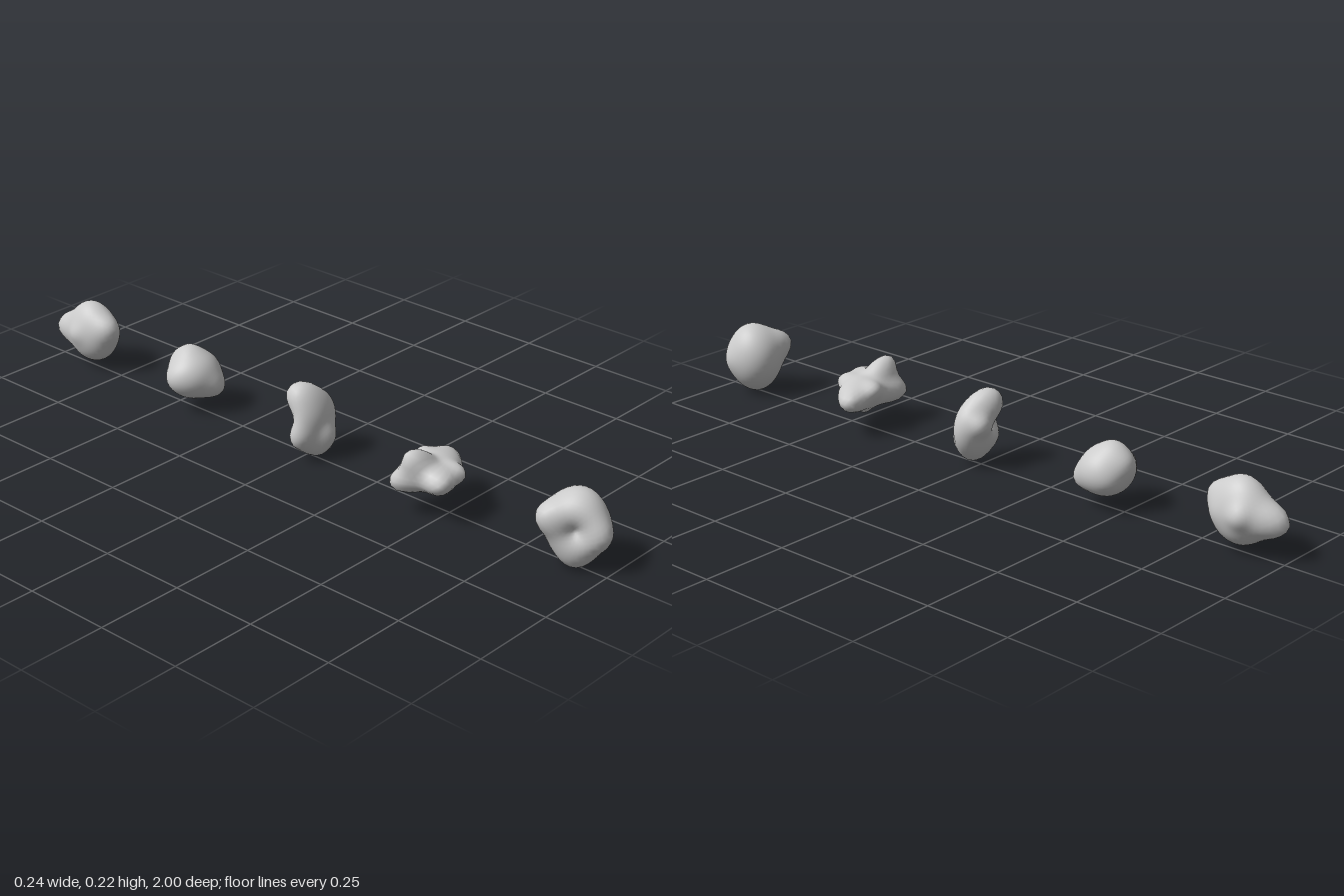
import * as THREE from 'three';
import { mergeVertices } from 'three/addons/utils/BufferGeometryUtils.js';

const stone = new THREE.MeshStandardMaterial({ color: 0xcccccc });

// Distance from the centre of an ellipsoid to its surface along a unit direction
const ellipsoidReach = (dir, radii) => 1 / dir.clone().divide(radii).length();

// A rock is an ellipsoid whose skin is drawn smoothly out (or in) to a few landmark points
function makeRock(name, centre, radii, spread, landmarks) {
  const middle = new THREE.Vector3(...centre);
  const size = new THREE.Vector3(...radii);
  const pulls = landmarks.map((point) => {
    const offset = new THREE.Vector3(...point).sub(middle);
    const length = offset.length();
    const dir = offset.normalize();
    return { dir, amount: length - ellipsoidReach(dir, size) };
  });

  const ball = new THREE.IcosahedronGeometry(1, 7);
  ball.deleteAttribute('normal');
  ball.deleteAttribute('uv');
  const geometry = mergeVertices(ball, 1e-4);
  const position = geometry.attributes.position;
  const dir = new THREE.Vector3();
  for (let i = 0; i < position.count; i++) {
    dir.fromBufferAttribute(position, i).normalize();
    let reach = ellipsoidReach(dir, size);
    for (const pull of pulls) {
      reach += pull.amount * Math.exp(-((dir.angleTo(pull.dir) / spread) ** 2));
    }
    position.setXYZ(i, dir.x * reach, dir.y * reach, dir.z * reach);
  }
  geometry.computeVertexNormals();

  const rock = new THREE.Mesh(geometry, stone);
  rock.name = name;
  rock.position.copy(middle);
  return rock;
}

export function createModel() {
  const group = new THREE.Group();
  group.name = 'rocks';

  // Front rock: blunt, with a hollow on its front right side
  group.add(makeRock('frontRock', [0.01, 0.105, 0.895], [0.078, 0.098, 0.085], 0.48, [
    [-0.085, 0.15, 0.84],
    [0, 0.1, 1],
    [-0.03, 0.11, 0.92],
    [0.087, 0.1, 0.935],
    [0.025, 0.205, 0.905],
    [-0.02, 0, 0.915],
  ]));

  // Spiky rock: wide and low, with a spike and several corners
  group.add(makeRock('spikyRock', [0, 0.1, 0.445], [0.088, 0.048, 0.062], 0.42, [
    [-0.1, 0.183, 0.44],
    [-0.085, 0.115, 0.545],
    [0.005, 0.12, 0.54],
    [0.115, 0.095, 0.4],
    [-0.113, 0.085, 0.39],
    [0.03, 0.13, 0.37],
    [0, 0.035, 0.45],
  ]));

  // Hollow rock: leaning slab with a deep notch at the back
  group.add(makeRock('hollowRock', [0.005, 0.105, 0.012], [0.076, 0.085, 0.05], 0.48, [
    [-0.02, 0.205, -0.02],
    [0, 0.01, 0.045],
    [-0.075, 0.055, 0.02],
    [-0.045, 0.165, -0.04],
    [-0.015, 0.11, -0.005],
    [0.045, 0.13, -0.052],
    [0.02, 0.06, 0.075],
  ]));

  // Round rock: nearly even, with a sloping front
  group.add(makeRock('roundRock', [0, 0.1, -0.44], [0.08, 0.07, 0.072], 0.5, [
    [0, 0.182, -0.465],
    [0.03, 0.06, -0.357],
    [0, 0.14, -0.517],
    [0.055, 0.08, -0.495],
    [-0.087, 0.1, -0.455],
  ]));

  // Back rock: tall, with a beak at the back
  group.add(makeRock('backRock', [0, 0.105, -0.865], [0.062, 0.09, 0.085], 0.45, [
    [-0.012, 0.095, -1],
    [0.072, 0.11, -0.9],
    [-0.01, 0.14, -0.765],
    [0, 0.2, -0.87],
    [0.052, 0.1, -0.81],
    [-0.07, 0.11, -0.88],
  ]));

  return group;
}
